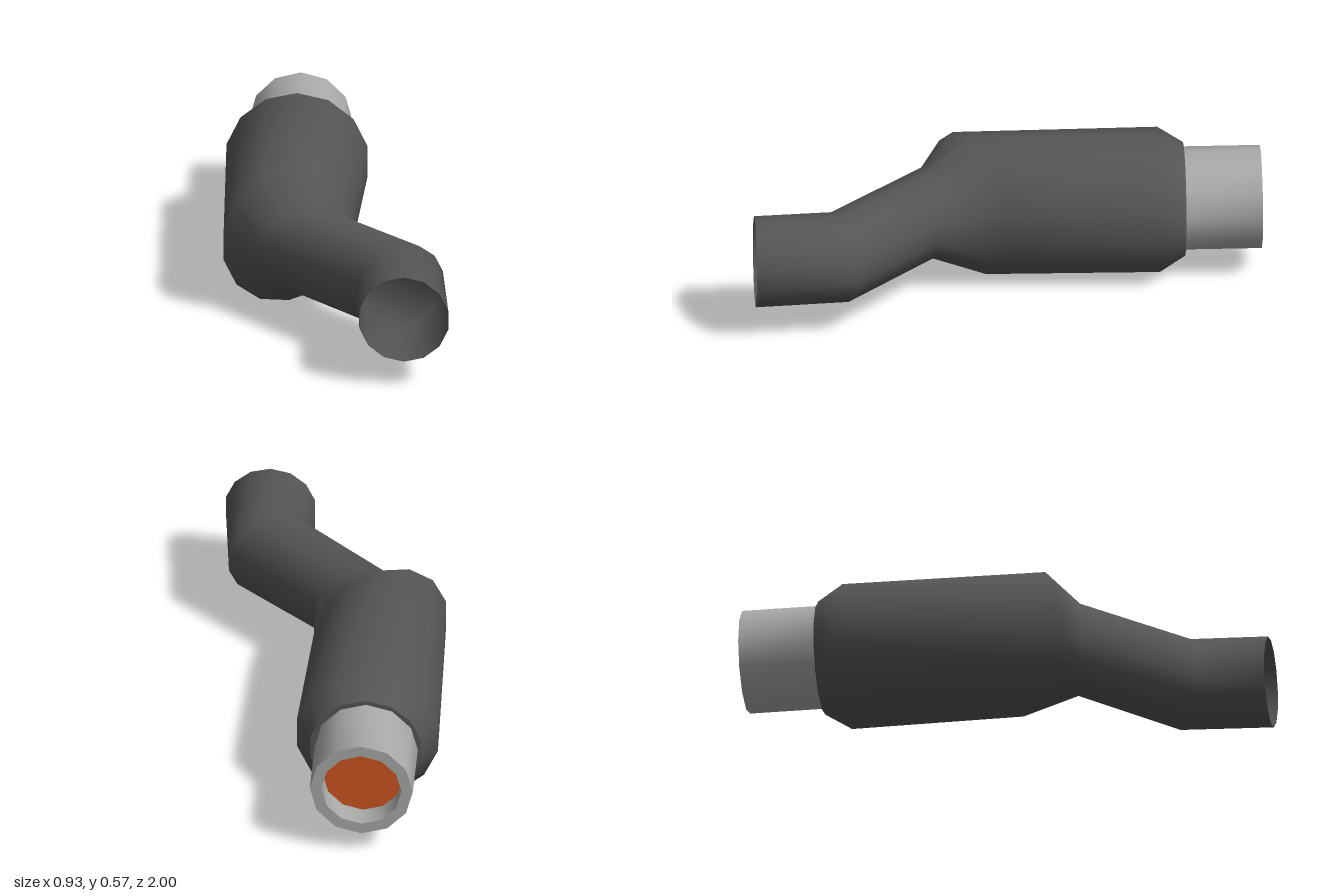
import * as THREE from 'three';
import { toCreasedNormals } from 'three/addons/utils/BufferGeometryUtils.js';

const SIDES = 14;
const CY = 0.284; // height of the axis

// Lofts a tube through upright rings: [centre x, centre z, half width x, half width z, radius y]
function loft(rings) {
  const pos = [], index = [];
  const reach = Math.cos(Math.PI / SIDES);
  for (const [cx, cz, hx, hz, ry] of rings) {
    for (let i = 0; i < SIDES; i++) {
      const a = (i / SIDES) * Math.PI * 2;
      const s = Math.sin(a) / reach;
      pos.push(cx + hx * s, CY + ry * Math.cos(a), cz + hz * s);
    }
  }
  for (let j = 0; j < rings.length - 1; j++) {
    for (let i = 0; i < SIDES; i++) {
      const a = j * SIDES + i, b = j * SIDES + (i + 1) % SIDES;
      index.push(a, a + SIDES, b, b, a + SIDES, b + SIDES);
    }
  }
  const g = new THREE.BufferGeometry();
  g.setAttribute('position', new THREE.Float32BufferAttribute(pos, 3));
  g.setIndex(index);
  g.computeVertexNormals();
  return g;
}

export function createModel() {
  const group = new THREE.Group();
  const darkMetal = new THREE.MeshStandardMaterial({ color: 0x555555, side: THREE.DoubleSide });
  darkMetal.name = 'dark metal';
  const silver = new THREE.MeshStandardMaterial({ color: 0xa8aaa8 });
  silver.name = 'silver';
  const orange = new THREE.MeshStandardMaterial({ color: 0xcc5522 });
  orange.name = 'orange';

  const add = (name, geometry, material) => {
    const mesh = new THREE.Mesh(geometry, material);
    mesh.name = name;
    group.add(mesh);
    return mesh;
  };

  // Wide body that narrows and bends into the open front pipe
  add('bentBody', loft([
    [-0.195, -0.70, 0.216, 0, 0.222],
    [-0.195, -0.60, 0.276, 0, 0.284],
    [-0.195, 0.14, 0.25, -0.135, 0.284],
    [-0.118, 0.305, 0.183, -0.035, 0.178],
    [0.263, 0.667, 0.163, -0.07, 0.178],
    [0.29, 1.0, 0.174, 0, 0.178],
  ]), darkMetal);

  // Flat end wall around the rear pipe
  const wall = new THREE.CircleGeometry(0.222, SIDES, Math.PI / 2);
  wall.rotateY(Math.PI);
  add('rearWall', wall, darkMetal).position.set(-0.195, CY, -0.70);

  // Thick-walled rear pipe
  const profile = [[0.202, 0.69], [0.202, 1], [0.157, 1], [0.157, 0.89]]
    .map(([r, y]) => new THREE.Vector2(r, y));
  const pipe = toCreasedNormals(new THREE.LatheGeometry(profile, 12), 0.7);
  pipe.rotateX(-Math.PI / 2);
  add('rearPipe', pipe, silver).position.set(-0.197, CY + 0.003, 0);

  // Coloured disc recessed in the rear pipe
  const disc = new THREE.CircleGeometry(0.157, 12);
  disc.rotateY(Math.PI);
  add('recessedDisc', disc, orange).position.set(-0.197, CY + 0.003, -0.9);

  return group;
}
